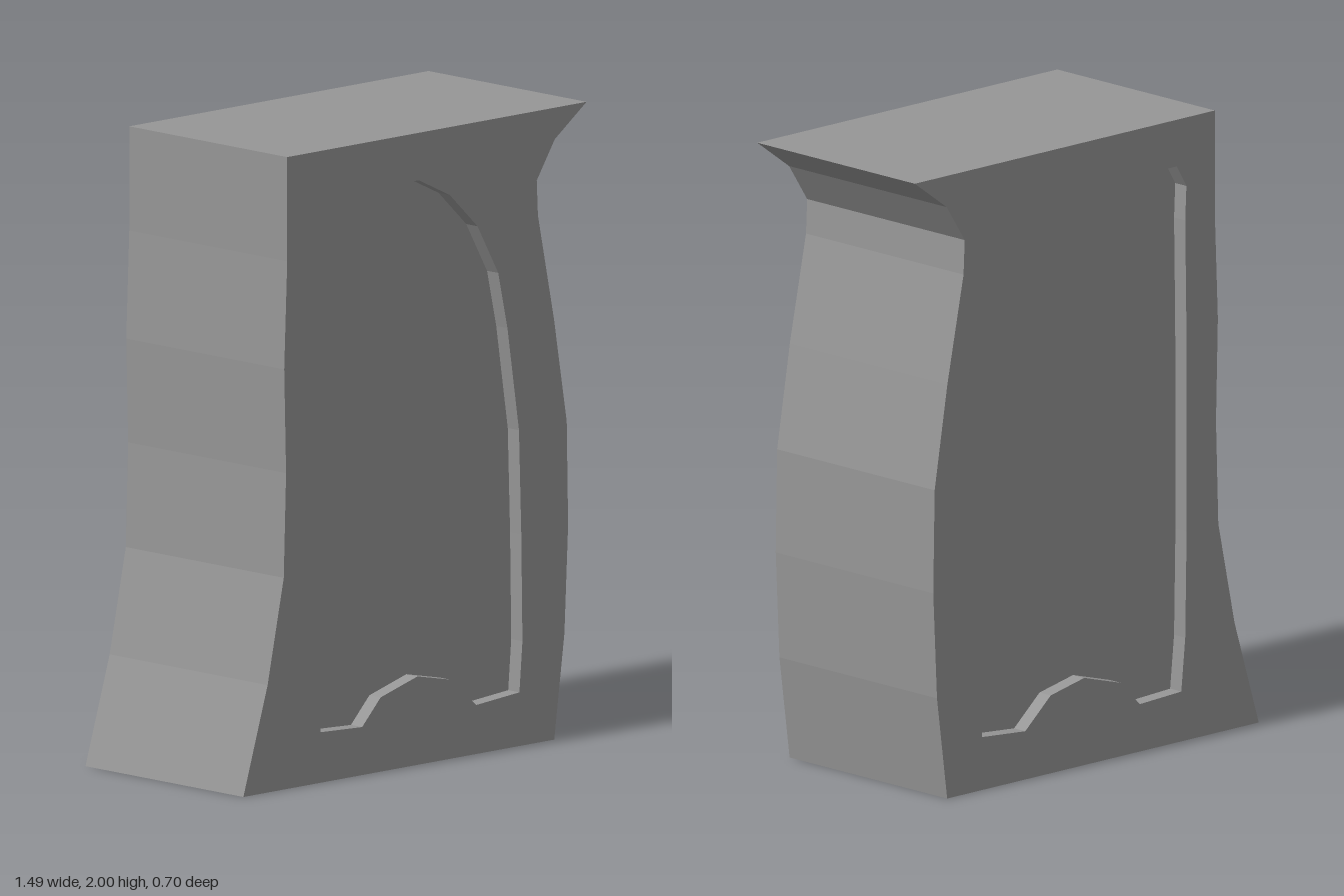
import * as THREE from 'three';

const HALF = 0.352;      // half thickness of the grip
const RECESS = 0.05;     // depth of the side recesses
const WELL = 0.21;       // depth of the well in the base
const RIM = 0.073;       // rim width around the well

const material = new THREE.MeshStandardMaterial({ color: 0x969696, flatShading: true });
const toPoints = (list) => list.map(([x, y]) => new THREE.Vector2(x, y));

// Side profile, from the base of the front strap, over the top, down the other edge
const profile = toPoints([
  [0.603, 0], [0.647, 0.33], [0.663, 0.67], [0.657, 1], [0.602, 1.33], [0.532, 1.67],
  [0.527, 1.78], [0.605, 1.9], [0.743, 2], [-0.555, 2], [-0.555, 1.67],
  [-0.568, 1.33], [-0.56, 1], [-0.57, 0.67], [-0.64, 0.34], [-0.745, 0],
]);

// Recess outline, clockwise so its walls face inward
const recess = toPoints([
  [-0.41, 0.16], [-0.427, 0.33], [-0.433, 0.67], [-0.433, 1], [-0.432, 1.33],
  [-0.427, 1.67], [-0.432, 1.78], [-0.39, 1.85], [0.015, 1.85], [0.15, 1.785],
  [0.27, 1.67], [0.36, 1.51], [0.4, 1.33], [0.45, 1], [0.46, 0.67], [0.465, 0.33],
  [0.452, 0.17], [0.265, 0.155], [0.155, 0.25], [0.01, 0.28], [-0.15, 0.235], [-0.23, 0.152],
]);

// Flat panel at depth z, optionally with a hole or turned to face backwards
function panel(points, z, hole = null, backwards = false) {
  const shape = new THREE.Shape(points);
  if (hole) shape.holes.push(new THREE.Path(hole));
  const geometry = new THREE.ShapeGeometry(shape).translate(0, 0, z);
  if (backwards) {
    geometry.setIndex(Array.from(geometry.index.array).reverse());
    geometry.computeVertexNormals();
  }
  return geometry;
}

// Strip of flat walls following an outline between two depths
function wall(points, z0, z1, closed) {
  const positions = [];
  const count = closed ? points.length : points.length - 1;
  for (let i = 0; i < count; i++) {
    const a = points[i], b = points[(i + 1) % points.length];
    positions.push(a.x, a.y, z0, b.x, b.y, z0, b.x, b.y, z1);
    positions.push(a.x, a.y, z0, b.x, b.y, z1, a.x, a.y, z1);
  }
  const geometry = new THREE.BufferGeometry();
  geometry.setAttribute('position', new THREE.Float32BufferAttribute(positions, 3));
  geometry.computeVertexNormals();
  return geometry;
}

export function createModel() {
  const model = new THREE.Group();
  model.name = 'grip';
  const add = (parent, name, geometry) => {
    const mesh = new THREE.Mesh(geometry, material);
    mesh.name = name;
    parent.add(mesh);
  };

  // Curved straps and flat top
  add(model, 'outerWall', wall(profile, -HALF, HALF, false));

  // Matching sides, each a frame around a shallow recess
  for (const side of [1, -1]) {
    const group = new THREE.Group();
    group.name = side > 0 ? 'frontSide' : 'backSide';
    const outer = side * HALF, inner = side * (HALF - RECESS);
    add(group, 'sideFrame', panel(profile, outer, recess, side < 0));
    add(group, 'recessFloor', panel(recess, inner, null, side < 0));
    add(group, 'recessWall', wall(recess, Math.min(inner, outer), Math.max(inner, outer), true));
    model.add(group);
  }

  // Base with a rectangular well, drawn flat and turned to face down
  const base = new THREE.Group();
  base.name = 'base';
  const x0 = -0.745, x1 = 0.603;
  const rim = toPoints([[x0, -HALF], [x1, -HALF], [x1, HALF], [x0, HALF]]);
  const l = x0 + RIM, r = x1 - RIM, d = HALF - RIM;
  const well = toPoints([[l, -d], [l, d], [r, d], [r, -d]]);
  add(base, 'baseRim', panel(rim, 0, well));
  add(base, 'wellWall', wall(well, -WELL, 0, true));
  add(base, 'wellCeiling', panel(well, -WELL));
  base.rotation.x = Math.PI / 2;
  model.add(base);

  return model;
}
